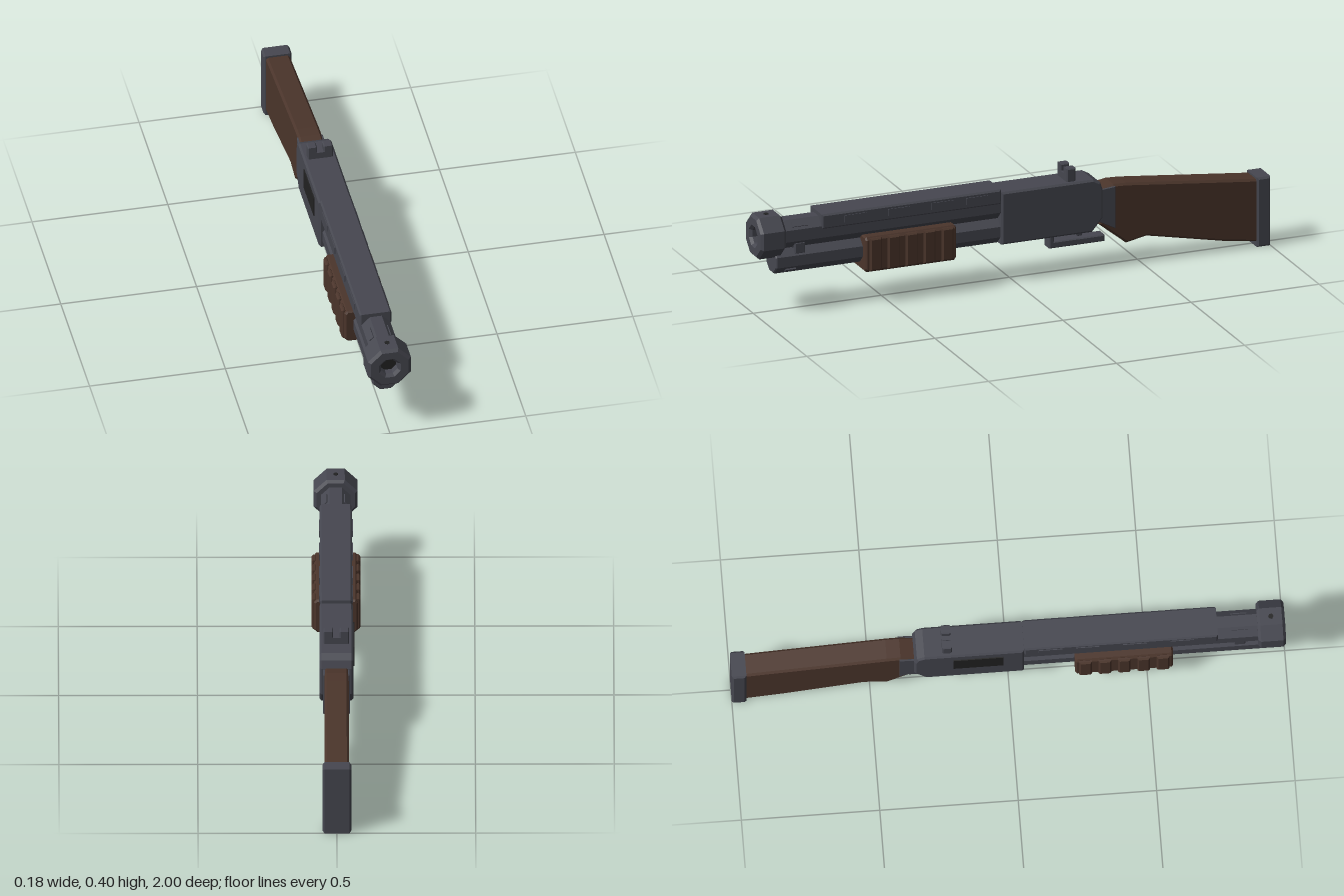
import * as THREE from 'three';

export function createModel() {
  const model = new THREE.Group();
  const mat = (name, color) => {
    const m = new THREE.MeshStandardMaterial({ color });
    m.name = name;
    return m;
  };
  const metal = mat('gunmetal', 0x464750);
  const wood = mat('walnut', 0x4b352b);
  const dark = mat('black', 0x222222);

  const add = (name, geo, material) => {
    const mesh = new THREE.Mesh(geo, material);
    mesh.name = name;
    model.add(mesh);
    return mesh;
  };
  const shapeOf = pts => new THREE.Shape(pts.map(p => new THREE.Vector2(p[0], p[1])));
  const octagon = (apothem, cy) => Array.from({ length: 8 }, (_, i) => {
    const a = (i + 0.5) * Math.PI / 4, r = apothem / Math.cos(Math.PI / 8);
    return [r * Math.cos(a), cy + r * Math.sin(a)];
  });
  // Chamfered extrusion whose outer size stays equal to the profile and length
  const extrude = (shape, length, bevel) => new THREE.ExtrudeGeometry(shape, {
    depth: length - 2 * bevel, bevelEnabled: bevel > 0, bevelThickness: bevel,
    bevelSize: bevel, bevelOffset: -bevel, bevelSegments: 1, steps: 1,
  }).translate(0, 0, bevel);
  // Front profile (x, y) run from z0 to z1
  const alongZ = (shape, z0, z1, bevel = 0.005) => extrude(shape, z1 - z0, bevel).translate(0, 0, z0);
  // Side profile (z, y) run from x0 to x1
  const alongX = (pts, x0, x1, bevel = 0.005) =>
    extrude(shapeOf(pts), x1 - x0, bevel).rotateY(-Math.PI / 2).translate(x1, 0, 0);
  const block = (x0, x1, y0, y1, z0, z1, bevel = 0.004) =>
    alongX([[z0, y0], [z1, y0], [z1, y1], [z0, y1]], x0, x1, bevel);

  // Barrel, magazine tube and muzzle
  const axisY = 0.294;
  add('barrel', alongZ(shapeOf(octagon(0.053, axisY)), 0.03, 0.92), metal);
  add('magazineTube', alongZ(shapeOf(octagon(0.048, 0.196)), 0.03, 0.93, 0.004), metal);
  const muzzle = shapeOf(octagon(0.079, axisY));
  muzzle.holes.push(new THREE.Path(octagon(0.03, axisY).map(p => new THREE.Vector2(p[0], p[1]))));
  add('muzzle', alongZ(muzzle, 0.9, 1, 0.01), metal);
  add('bore', alongZ(shapeOf(octagon(0.031, axisY)), 0.93, 0.965, 0), dark);
  add('muzzleNotch', block(-0.012, 0.012, 0.328, 0.334, 0.985, 0.996, 0), dark);
  const port = new THREE.CylinderGeometry(0.01, 0.01, 0.004, 6).toNonIndexed();
  port.computeVertexNormals();
  add('muzzlePort', port, dark).position.set(0, axisY + 0.079, 0.95);
  add('tubeClamp', block(-0.025, 0.025, 0.225, 0.262, 0.81, 0.86), metal);
  for (const s of [-1, 1]) {
    const vent = add('barrelVent', new THREE.BoxGeometry(0.02, 0.006, 0.06), metal);
    vent.position.set(s * 0.038, axisY + 0.038, 0.835);
    vent.rotation.z = -s * Math.PI / 4;
    const catchPlate = add('tubeCatch', new THREE.BoxGeometry(0.016, 0.008, 0.04), metal);
    catchPlate.position.set(s * 0.035, 0.161, 0.87);
    catchPlate.rotation.z = s * Math.PI / 4;
    add('clampEar', block(s * 0.035 - 0.009, s * 0.035 + 0.009, 0.22, 0.262, 0.815, 0.855, 0.003), metal);
  }

  // Heat shield with side panels
  add('heatShield', block(-0.058, 0.058, 0.305, 0.361, 0.055, 0.755, 0.006), metal);
  for (const s of [-1, 1])
    for (const z of [0.625, 0.455, 0.285, 0.15]) {
      add('shieldPanel', new THREE.BoxGeometry(0.006, 0.026, 0.085), metal)
        .position.set(s * 0.058, 0.335, z);
    }

  // Receiver and ejection port
  add('receiver', alongX([
    [0.055, 0.15], [0.055, 0.35], [-0.305, 0.35], [-0.332, 0.335],
    [-0.342, 0.305], [-0.342, 0.2], [-0.3, 0.15],
  ], -0.061, 0.061, 0.007), metal);
  add('ejectionPort', new THREE.BoxGeometry(0.008, 0.08, 0.18), dark).position.set(-0.061, 0.275, -0.11);

  // Rear sight
  for (const s of [-1, 1])
    add('rearSightPost', block(s * 0.029 - 0.017, s * 0.029 + 0.017, 0.34, 0.4, -0.24, -0.205), metal);
  add('rearSightBase', block(-0.02, 0.02, 0.34, 0.375, -0.24, -0.205), metal);

  // Trigger and guard
  add('guardBar', block(-0.025, 0.025, 0.096, 0.121, -0.362, -0.147), metal);
  add('guardFront', block(-0.025, 0.025, 0.096, 0.165, -0.165, -0.147), metal);
  add('trigger', alongX([[-0.245, 0.16], [-0.29, 0.16], [-0.278, 0.125], [-0.262, 0.125]],
    -0.012, 0.012, 0.002), metal);

  // Pump grip with raised ribs
  add('pumpGrip', alongZ(shapeOf([
    [-0.066, 0.122], [0.066, 0.122], [0.079, 0.134], [0.079, 0.246],
    [0.07, 0.257], [-0.07, 0.257], [-0.079, 0.246], [-0.079, 0.134],
  ]), 0.238, 0.592, 0.006), wood);
  for (const s of [-1, 1])
    for (let i = 0; i < 5; i++) {
      const z = 0.275 + i * 0.07;
      add('pumpRib', block(s * 0.079 - 0.009, s * 0.079 + 0.009, 0.13, 0.254, z - 0.023, z + 0.023, 0.006), wood);
    }

  // Stock, side plates at the neck, and butt pad
  add('stock', alongX([
    [-0.33, 0.305], [-0.39, 0.315], [-0.44, 0.313], [-0.955, 0.257], [-0.955, 0.018],
    [-0.82, 0.038], [-0.52, 0.1], [-0.44, 0.084], [-0.335, 0.168],
  ], -0.044, 0.044, 0.008), wood);
  for (const s of [-1, 1])
    add('neckPlate', alongX([
      [-0.335, 0.303], [-0.395, 0.309], [-0.395, 0.148], [-0.33, 0.182],
    ], s * 0.044 - 0.004, s * 0.044 + 0.004, 0.002), metal);
  add('buttPad', block(-0.052, 0.052, 0, 0.265, -1, -0.947, 0.007), metal);

  return model;
}
